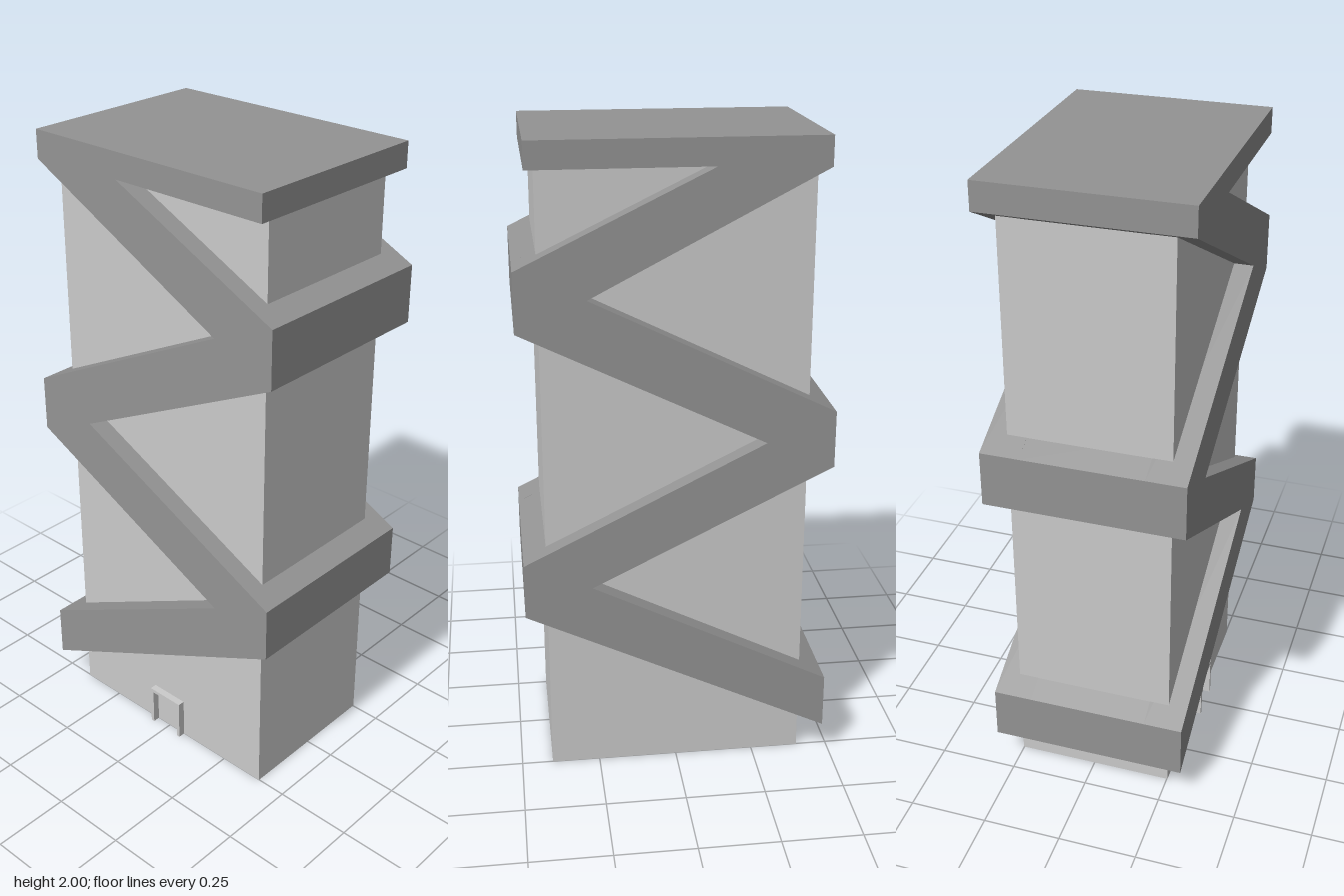
import * as THREE from 'three';

const polygon = (points) => new THREE.Shape(points.map(([x, y]) => new THREE.Vector2(x, y)));

// Extrude an outline in the xy plane between two z positions
function slab(points, z0, z1) {
  const geometry = new THREE.ExtrudeGeometry(polygon(points), { depth: z1 - z0, bevelEnabled: false });
  return geometry.translate(0, 0, z0);
}

export function createModel() {
  const model = new THREE.Group();
  const wallMaterial = new THREE.MeshStandardMaterial({ color: 0xcccccc, side: THREE.DoubleSide });
  const frameMaterial = new THREE.MeshStandardMaterial({ color: 0xcccccc });
  const bandMaterial = new THREE.MeshStandardMaterial({ color: 0x949494 });

  const add = (parent, name, geometry, material) => {
    const mesh = new THREE.Mesh(geometry, material);
    mesh.name = name;
    parent.add(mesh);
    return mesh;
  };

  // Hollow tower: a box without its bottom face
  const tower = new THREE.BoxGeometry(0.804, 1.95, 0.504).translate(0, 0.975, 0);
  const index = Array.from(tower.index.array);
  index.splice(18, 6);
  tower.setIndex(index);
  tower.clearGroups();
  add(model, 'towerWalls', tower, wallMaterial);

  // Zigzag band wrapped around the tower, straddling its walls
  const band = new THREE.Group();
  band.name = 'zigzagBand';
  model.add(band);
  const X = 0.472, XIN = 0.34, Z = 0.313, ZIN = 0.19;
  const slope = 0.486;
  const rise = (X - XIN) * slope;

  const zigzag = [
    [-X, 0.11], [X, 0.563], [X, 0.735], [-0.265, 1.098], [X, 1.46], [X, 1.64],
    [-0.105, 1.92], [0.43, 1.92], [0.43, 2], [-0.43, 2], [-0.43, 1.912],
    [0.265, 1.552], [-X, 1.188], [-X, 1.012], [0.265, 0.65], [-X, 0.283],
  ];
  add(band, 'frontZigzag', slab(zigzag, ZIN, Z), bandMaterial);
  add(band, 'backZigzag', slab(zigzag, -Z, -ZIN), bandMaterial);

  // Bars across the two sides where the band turns: side, bottom and top
  // heights at the outer face, and the change of each towards the inside
  const turns = [
    [-1, 0.11, 0.283, rise, rise],
    [1, 0.563, 0.735, -rise, rise],
    [-1, 1.012, 1.188, -rise, rise],
    [1, 1.46, 1.64, -rise, rise],
  ];
  for (const [side, bottom, top, dBottom, dTop] of turns) {
    const outline = [
      [side * X, bottom], [side * X, top],
      [side * XIN, top + dTop], [side * XIN, bottom + dBottom],
    ];
    add(band, side > 0 ? 'leftTurn' : 'rightTurn', slab(outline, -ZIN, ZIN), bandMaterial);
  }

  // Flat roof closing the top of the band, with a sloped underside at one end
  const roof = [[-0.43, 1.912], [-0.37, 1.88], [-0.3, 1.92], [0.43, 1.92], [0.43, 2], [-0.43, 2]];
  add(band, 'roof', slab(roof, -ZIN, ZIN), bandMaterial);

  // Door frame set through the front wall
  const w = 0.066, h = 0.137, t = 0.012;
  const doorFrame = [
    [-w, 0], [-w + t, 0], [-w + t, h - t], [w - t, h - t],
    [w - t, 0], [w, 0], [w, h], [-w, h],
  ];
  add(model, 'doorFrame', slab(doorFrame, 0.228, 0.275), frameMaterial);

  return model;
}
